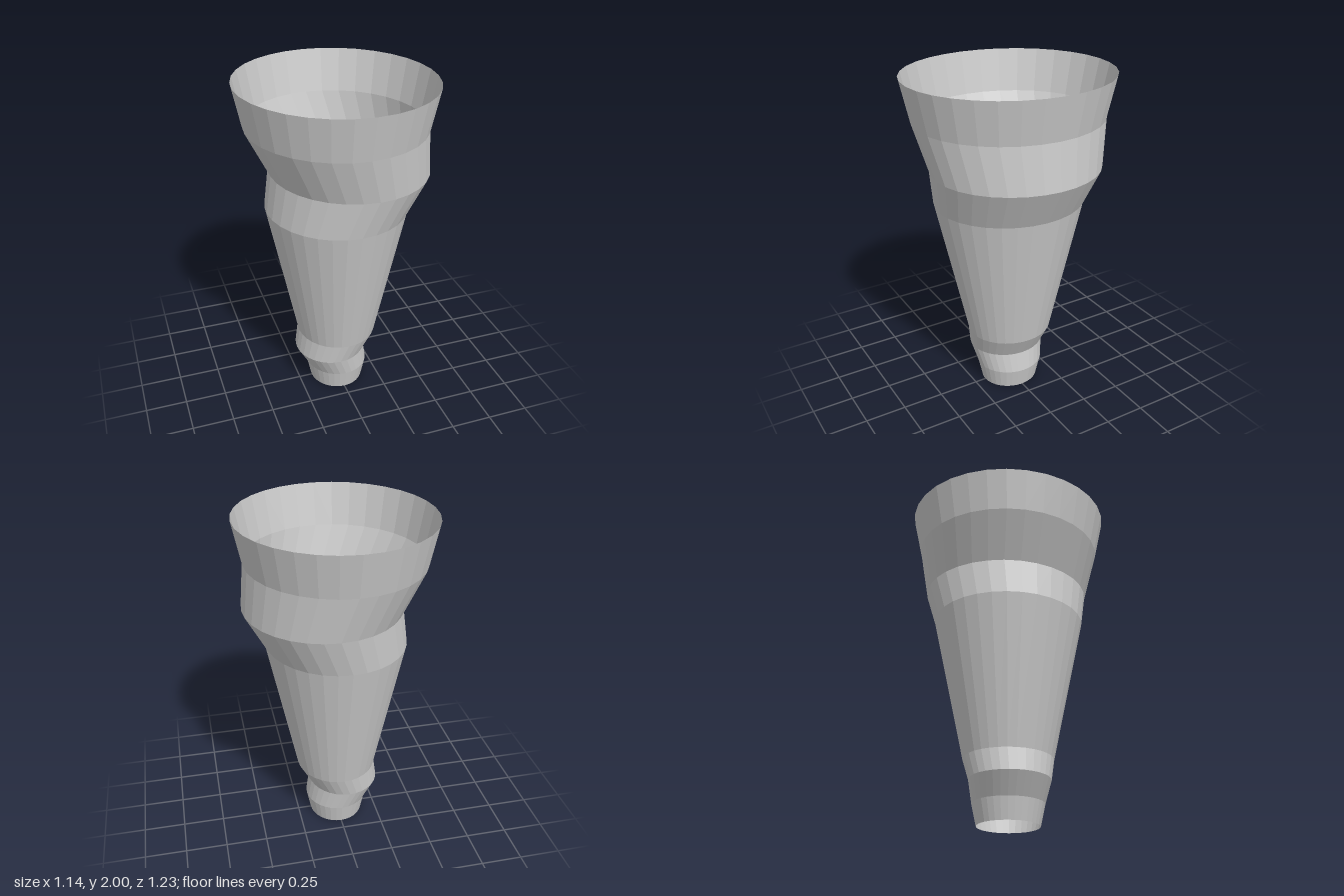
import * as THREE from 'three';

const SIDES = 32;

// Rings from top to bottom: [height, sideways shift]
const RINGS = [
  [2, 0], [1.75, 0], [1.48, 0.078], [1.25, 0],
  [0.38, 0], [0.25, -0.045], [0.125, 0], [0, 0],
];

export function createModel() {
  const group = new THREE.Group();
  group.name = 'taperedTube';

  // Open tube whose rings are set to a steady oval taper, two of them pushed sideways
  const geometry = new THREE.CylinderGeometry(1, 1, 1, SIDES, RINGS.length - 1, true);
  const pos = geometry.attributes.position;
  for (let i = 0; i < pos.count; i++) {
    const [y, shift] = RINGS[Math.floor(i / (SIDES + 1))];
    const rx = 0.167 + 0.2005 * y;
    const rz = 0.18 + 0.2185 * y;
    pos.setXYZ(i, pos.getX(i) * rx + shift, y, pos.getZ(i) * rz);
  }
  geometry.computeVertexNormals();

  const material = new THREE.MeshStandardMaterial({
    color: 0xcccccc, flatShading: true, side: THREE.DoubleSide,
  });
  const wall = new THREE.Mesh(geometry, material);
  wall.name = 'tubeWall';
  group.add(wall);
  return group;
}
